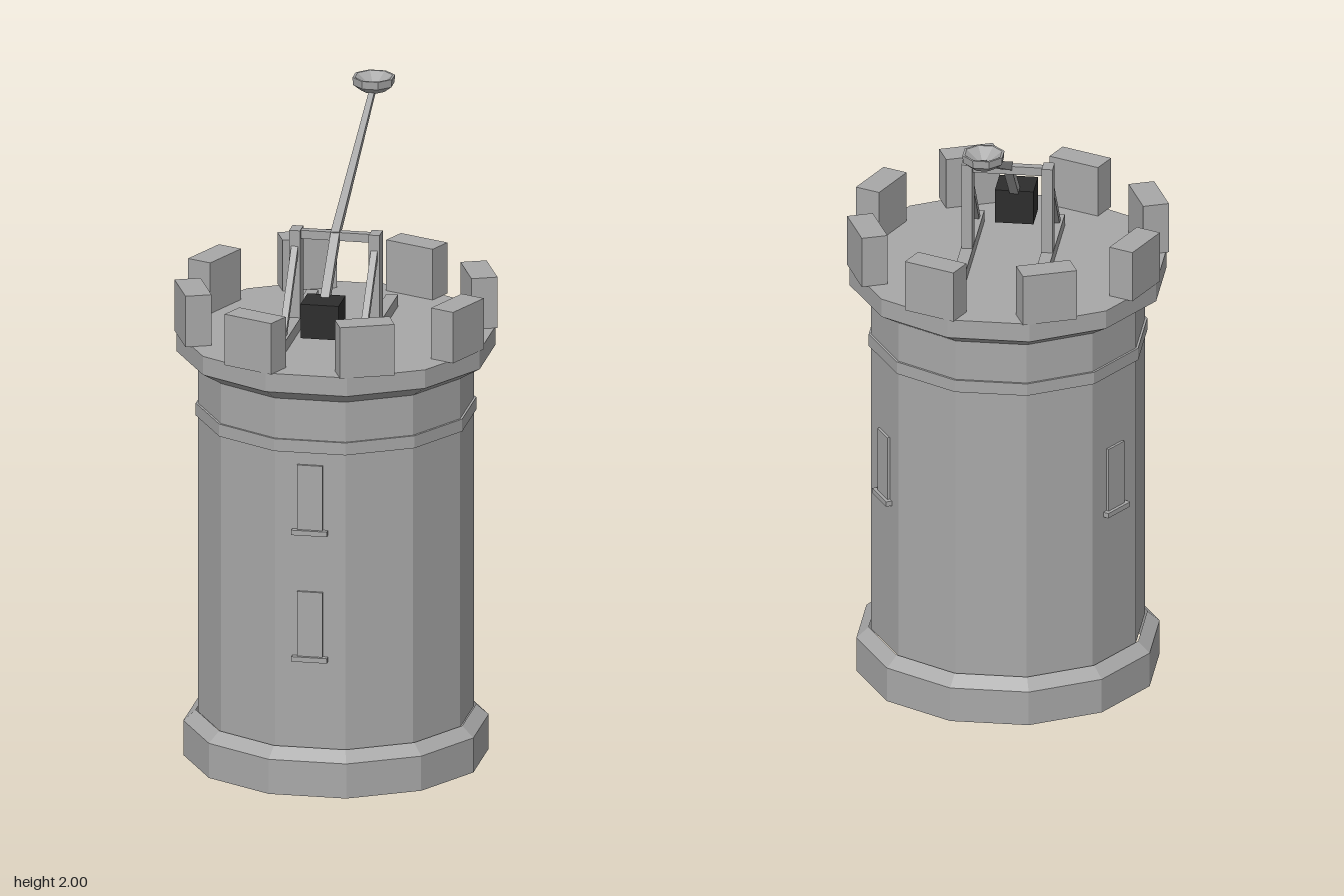
import * as THREE from 'three';

const stone = new THREE.MeshStandardMaterial({ color: 0xa8a8a8, flatShading: true, side: THREE.DoubleSide });
stone.name = 'grey stone';
const iron = new THREE.MeshStandardMaterial({ color: 0x2d2d2d, flatShading: true, side: THREE.DoubleSide });
iron.name = 'dark iron';

const CZ = 0.088; // tower axis in z
const deg = Math.PI / 180;

function add(parent, name, geometry, material = stone) {
  const mesh = new THREE.Mesh(geometry, material);
  mesh.name = name;
  parent.add(mesh);
  return mesh;
}

// Faceted ring; radii are measured to the middle of a flat side
function ring(parent, name, points, sides = 12) {
  const k = 1 / Math.cos(Math.PI / sides);
  const profile = points.map(([r, y]) => new THREE.Vector2(r * k, y));
  return add(parent, name, new THREE.LatheGeometry(profile, sides, Math.PI / sides));
}

// Box given by its centre and size
function box(parent, name, [x, y, z], size, material) {
  const mesh = add(parent, name, new THREE.BoxGeometry(...size), material);
  mesh.position.set(x, y, z);
  return mesh;
}

// Square beam between two points, with a thickness at each end
function beam(parent, name, from, to, t0, t1 = t0) {
  const a = new THREE.Vector3(...from), b = new THREE.Vector3(...to);
  const geometry = new THREE.BoxGeometry(1, 1, a.distanceTo(b));
  const p = geometry.attributes.position;
  for (let i = 0; i < p.count; i++) {
    const t = p.getZ(i) < 0 ? t0 : t1;
    p.setX(i, p.getX(i) * t);
    p.setY(i, p.getY(i) * t);
  }
  const mesh = add(parent, name, geometry);
  mesh.position.copy(a).lerp(b, 0.5);
  mesh.lookAt(b);
  return mesh;
}

function buildTower() {
  const tower = new THREE.Group();
  tower.name = 'tower';
  tower.position.z = CZ;
  ring(tower, 'base', [[0.456, 0], [0.456, 0.112], [0.419, 0.146]]);
  ring(tower, 'wall', [[0.412, 0.14], [0.412, 1.28]]);
  ring(tower, 'belt', [[0.412, 1.1], [0.419, 1.1], [0.419, 1.14], [0.412, 1.14]]);
  ring(tower, 'platform', [[0.412, 1.27], [0.477, 1.31], [0.477, 1.37], [0, 1.37]]);

  // Battlements
  for (let i = 0; i < 8; i++) {
    const a = (22.5 + 45 * i) * deg;
    const merlon = box(tower, 'merlon',
      [0.45 * Math.sin(a), 1.452, 0.45 * Math.cos(a)], [0.172, 0.165, 0.082]);
    merlon.rotation.y = a;
  }

  // Windows with sills: two in front, one on each rear side
  for (const [angle, y] of [[0, 0.44], [0, 0.85], [120, 0.642], [240, 0.642]]) {
    const win = new THREE.Group();
    win.name = 'window';
    win.rotation.y = angle * deg;
    box(win, 'windowPanel', [0, y + 0.105, 0.416], [0.08, 0.21, 0.009]);
    box(win, 'windowSill', [0, y - 0.007, 0.42], [0.112, 0.016, 0.022]);
    tower.add(win);
  }
  return tower;
}

function buildCatapult() {
  const catapult = new THREE.Group();
  catapult.name = 'catapult';

  // Frame, mirrored left and right
  for (const s of [-1, 1]) {
    const x = s * 0.125;
    box(catapult, 'skid', [x, 1.389, 0.088], [0.037, 0.038, 0.524]);
    box(catapult, 'post', [x, 1.548, 0.088], [0.034, 0.284, 0.053]);
    beam(catapult, 'brace', [x, 1.64, 0.1], [x, 1.4, 0.305], 0.021);
  }
  box(catapult, 'crossbar', [0, 1.674, 0.088], [0.28, 0.027, 0.025]);

  // Bent throwing arm
  beam(catapult, 'lowerArm', [0, 1.515, 0.265], [0, 1.681, 0.09], 0.028);
  beam(catapult, 'upperArm', [0, 1.678, 0.1], [0, 1.972, -0.525], 0.027, 0.017);
  box(catapult, 'counterweight', [0, 1.475, 0.295], [0.12, 0.11, 0.112], iron);

  // Scoop with a small hole in the middle
  const scoop = ring(catapult, 'scoop', [
    [0.011, 1.965], [0.036, 1.955], [0.06, 1.975], [0.062, 2], [0.055, 2], [0.011, 1.965],
  ], 8);
  scoop.position.z = -0.515;
  return catapult;
}

export function createModel() {
  const model = new THREE.Group();
  model.name = 'catapultTower';
  model.add(buildTower(), buildCatapult());
  return model;
}
